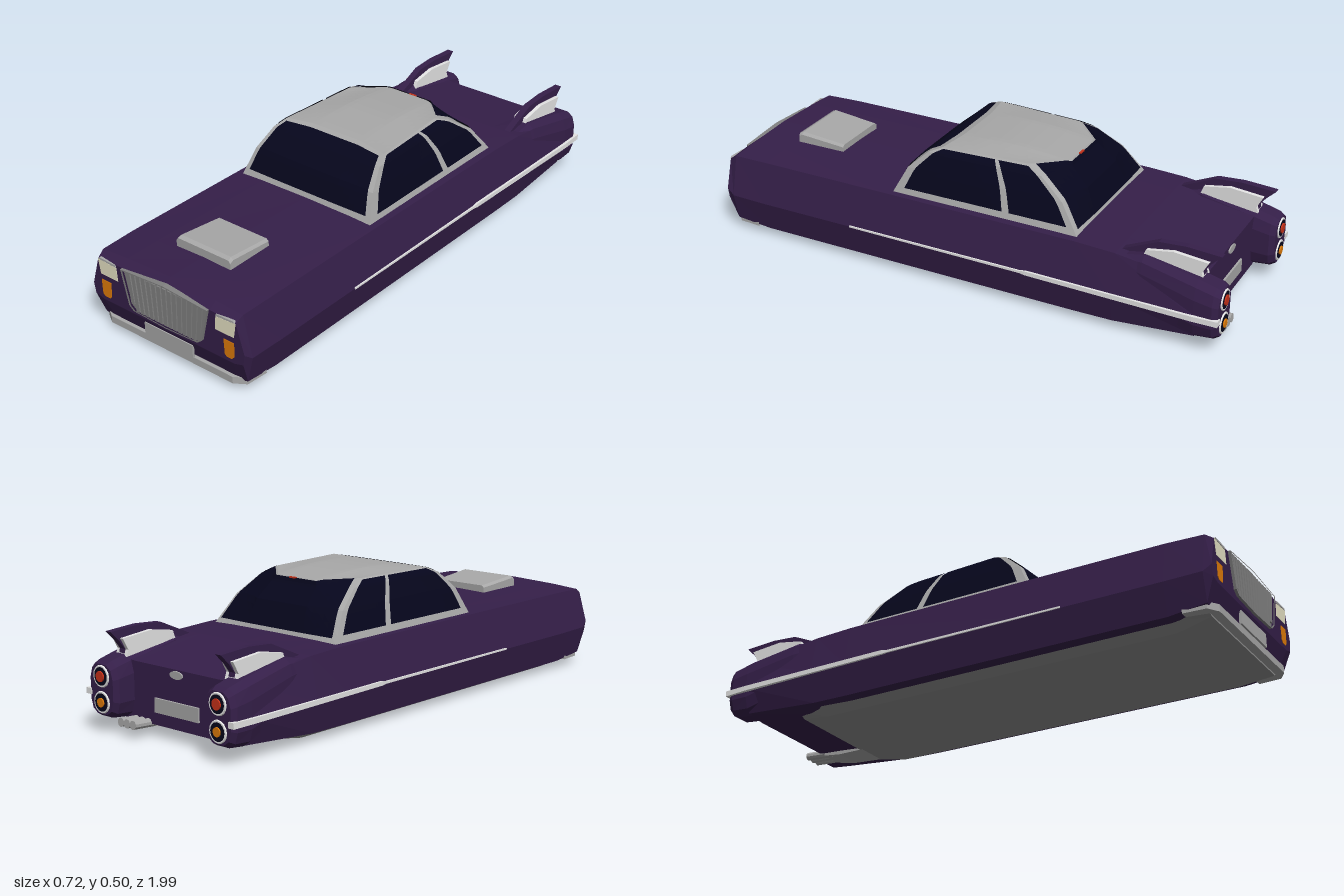
import * as THREE from 'three';

const mat = (name, color, side = THREE.FrontSide) => {
  const m = new THREE.MeshStandardMaterial({ color, side, flatShading: true });
  m.name = name;
  return m;
};

export function createModel() {
  const car = new THREE.Group();
  car.name = 'hoverCar';
  const purple = mat('purplePaint', 0x351f49);
  const glass = mat('darkGlass', 0x06061c, THREE.DoubleSide);
  const gray = mat('grayTrim', 0xa8a8a8, THREE.DoubleSide);
  const steel = mat('grilleSteel', 0x828282);
  const under = mat('underbodyGray', 0x8e8e8e);
  const chrome = mat('chrome', 0xe4e4e4);
  const cream = mat('headlightCream', 0xf2eecf);
  const orange = mat('indicatorOrange', 0xe07c0a);
  const red = mat('tailRed', 0xc8321a);

  const add = (name, geo, m, x = 0, y = 0, z = 0) => {
    const mesh = new THREE.Mesh(geo, m);
    mesh.name = name;
    mesh.position.set(x, y, z);
    car.add(mesh);
    return mesh;
  };
  const box = (name, w, h, d, m, x, y, z) => add(name, new THREE.BoxGeometry(w, h, d), m, x, y, z);

  // Closed skin over rings of [x, y, z], capped, always facing outward
  const loft = (rings) => {
    const n = rings[0].length, tris = [];
    for (let i = 0; i + 1 < rings.length; i++)
      for (let j = 0; j < n; j++) {
        const k = (j + 1) % n, [a, b] = [rings[i], rings[i + 1]];
        tris.push([a[j], b[j], b[k]], [a[j], b[k], a[k]]);
      }
    const cap = (r, flip) => {
      const c = [0, 1, 2].map((d) => r.reduce((s, p) => s + p[d], 0) / n);
      r.forEach((p, j) => tris.push(flip ? [c, r[(j + 1) % n], p] : [c, p, r[(j + 1) % n]]));
    };
    cap(rings[0], false);
    cap(rings[rings.length - 1], true);
    let vol = 0;
    const v = (p) => new THREE.Vector3(...p);
    for (const [a, b, c] of tris) vol += v(a).dot(v(b).cross(v(c)));
    if (vol < 0) tris.forEach((t) => t.reverse());
    const g = new THREE.BufferGeometry();
    g.setAttribute('position', new THREE.Float32BufferAttribute(tris.flat(2), 3));
    g.computeVertexNormals();
    return g;
  };
  // Mirror a half section [x, y] across x = 0 into a ring at z
  const ring = (z, half) => [
    ...half.map(([x, y]) => [x, y, z]),
    ...half.filter(([x]) => x > 0).reverse().map(([x, y]) => [-x, y, z]),
  ];
  const rect = (z, x0, x1, y0, y1) => [[x0, y0, z], [x1, y0, z], [x1, y1, z], [x0, y1, z]];
  const plate = (pts, depth) => new THREE.ExtrudeGeometry(
    new THREE.Shape(pts.map((p) => new THREE.Vector2(...p))), { depth, bevelEnabled: false });

  // Body: centre top, deck edge, shoulder, waist, sill, floor
  add('body', loft([
    ring(0.99, [[0, 0.287], [0.2, 0.285], [0.312, 0.28], [0.345, 0.17], [0.338, 0.13], [0.3, 0.12]]),
    ring(0.96, [[0, 0.314], [0.2, 0.307], [0.317, 0.299], [0.352, 0.148], [0.328, 0.045], [0.27, 0.03]]),
    ring(0.82, [[0, 0.315], [0.2, 0.309], [0.32, 0.302], [0.353, 0.146], [0.325, 0.03], [0.26, 0.012]]),
    ring(0.3, [[0, 0.308], [0.2, 0.306], [0.32, 0.302], [0.353, 0.146], [0.325, 0.03], [0.26, 0.012]]),
    ring(-0.45, [[0, 0.304], [0.2, 0.303], [0.32, 0.3], [0.353, 0.146], [0.325, 0.03], [0.26, 0.012]]),
    ring(-0.6, [[0, 0.295], [0.2, 0.295], [0.32, 0.294], [0.353, 0.146], [0.325, 0.032], [0.26, 0.014]]),
    ring(-0.9, [[0, 0.25], [0.2, 0.25], [0.32, 0.255], [0.35, 0.146], [0.32, 0.055], [0.24, 0.045]]),
  ]), purple);
  add('underbody', loft([
    ring(0.95, [[0.3, 0.035], [0.27, 0.022]]),
    ring(0.82, [[0.3, 0.025], [0.255, 0]]),
    ring(-0.58, [[0.3, 0.025], [0.255, 0]]),
    ring(-0.7, [[0.27, 0.03], [0.24, 0.018]]),
  ]), under);

  // Greenhouse corner rails: y, front x, front z, rear x, rear z, front bow, rear bow
  const rails = [
    [0.3, 0.295, 0.285, 0.29, -0.445, 0, 0],
    [0.4, 0.268, 0.235, 0.255, -0.37, 0.008, -0.03],
    [0.465, 0.243, 0.165, 0.225, -0.275, 0, -0.06],
    [0.487, 0.222, 0.115, 0.2, -0.215, -0.02, -0.11],
  ];
  const railAt = (t) => {
    const i = Math.min(2, Math.floor(t * 3)), f = t * 3 - i;
    return rails[i].map((a, k) => a + (rails[i + 1][k] - a) * f);
  };
  const bow = (u) => Math.min(1, (1 - Math.abs(u)) * 1.9);
  const front = (o) => (u, t) => {
    const r = railAt(t);
    return [u * r[1], r[0] + o + 0.004 * t * bow(u), r[2] + r[5] * bow(u) + o];
  };
  const rear = (o) => (u, t) => {
    const r = railAt(t);
    return [u * r[3], r[0] + o - 0.006 * t * bow(u), r[4] + r[6] * bow(u) - o];
  };
  const side = (s, o) => (u, t) => {
    const r = railAt(t);
    return [s * (r[1] + (r[3] - r[1]) * u + o), r[0] + o / 2, r[2] + (r[4] - r[2]) * u];
  };
  const roof = (u, t) => {
    const a = front(0)(u, 1), b = rear(0)(u, 1);
    return a.map((p, k) => p + (b[k] - p) * t + (k === 1 ? 0.012 * Math.sin(Math.PI * t) * bow(u) : 0));
  };
  // Sheet over part of a surface; the upper limit may vary with u
  const patch = (fn, u0, u1, t0, t1, nu = 20, nt = 12) => {
    const top = typeof t1 === 'function' ? t1 : () => t1;
    const pos = [], idx = [];
    for (let i = 0; i <= nu; i++)
      for (let j = 0; j <= nt; j++) {
        const u = u0 + (u1 - u0) * i / nu;
        pos.push(...fn(u, t0 + (top(u) - t0) * j / nt));
        if (i < nu && j < nt) {
          const a = i * (nt + 1) + j, b = a + nt + 1;
          idx.push(a, b, b + 1, a, b + 1, a + 1);
        }
      }
    const g = new THREE.BufferGeometry();
    g.setAttribute('position', new THREE.Float32BufferAttribute(pos, 3));
    g.setIndex(idx);
    g.computeVertexNormals();
    return g;
  };
  add('roof', patch(roof, -1, 1, 0, 1), gray);
  add('windshieldFrame', patch(front(0), -1, 1, 0, 1), gray);
  add('windshield', patch(front(0.003), -0.93, 0.93, 0.08, 0.9), glass);
  add('rearWindowFrame', patch(rear(0), -1, 1, 0, 1), gray);
  add('rearWindow', patch(rear(0.004), -0.94, 0.94, 0.05, (u) => (Math.abs(u) < 0.5 ? 0.92 : 0.97)), glass);
  box('highBrakeLight', 0.03, 0.008, 0.008, red, 0.015, 0.478, -0.329);
  for (const s of [1, -1]) {
    add('sideFrame', patch(side(s, 0), 0, 1, 0, 1), gray);
    add('frontSideWindow', patch(side(s, 0.004), 0.05, 0.61, 0.08, 0.92), glass);
    add('rearSideWindow', patch(side(s, 0.004), 0.65, 0.965, 0.08, 0.92), glass);
  }

  // Hood scoop
  add('hoodScoop', loft([
    ring(0.805, [[0.115, 0.345], [0.122, 0.335], [0.122, 0.3]]),
    ring(0.79, [[0.112, 0.352], [0.122, 0.343], [0.122, 0.3]]),
    ring(0.61, [[0.108, 0.336], [0.118, 0.328], [0.118, 0.3]]),
  ]), gray);

  // Grille with vertical slats
  const outline = (k) => [[-0.197, 0.285], [0, 0.298], [0.197, 0.285], [0.166, 0.155], [0.145, 0.139],
    [0, 0.133], [-0.145, 0.139], [-0.166, 0.155]].map(([x, y]) => [x * k, 0.215 + (y - 0.215) * k]);
  const rim = new THREE.Shape(outline(1).map((p) => new THREE.Vector2(...p)));
  rim.holes.push(new THREE.Path(outline(0.95).map((p) => new THREE.Vector2(...p))));
  add('grilleRim', new THREE.ExtrudeGeometry(rim, { depth: 0.03, bevelEnabled: false }), steel, 0, 0, 0.97);
  add('grilleBack', plate(outline(0.96), 0.02), steel, 0, 0, 0.972);
  for (let i = -7; i <= 7; i++) {
    const bottom = Math.abs(i) > 6 ? 0.165 : 0.14;
    const slat = box('grilleSlat', 0.016, 0.285 - bottom, 0.006, steel, i * 0.0225, (0.285 + bottom) / 2, 0.994);
    slat.rotation.z = -i * 0.018;
  }

  // Front bumper, number plates and trunk latch
  const bumper = plate([[-0.328, 0.87], [-0.322, 0.955], [-0.28, 0.982], [0.28, 0.982], [0.322, 0.955], [0.328, 0.87]], 0.026);
  bumper.rotateX(Math.PI / 2);
  add('frontBumper', bumper, gray, 0, 0.054, 0);
  box('frontPlate', 0.22, 0.05, 0.009, gray, 0, 0.08, 0.984);
  box('rearPlate', 0.21, 0.05, 0.009, gray, 0, 0.115, -0.903);
  const latch = add('trunkLatch', new THREE.CylinderGeometry(0.014, 0.014, 0.008, 14).rotateX(Math.PI / 2), gray, 0, 0.232, -0.901);
  latch.scale.x = 2.2;

  // Rounded pod section
  const podRing = (z, cx, cy, w, h) => Array.from({ length: 12 }, (_, i) => {
    const a = (i + 0.5) * Math.PI / 6;
    const soft = (v) => Math.sign(v) * Math.abs(v) ** 0.65;
    return [cx + w * soft(Math.cos(a)), cy + h * soft(Math.sin(a)), z];
  });
  for (const s of [1, -1]) {
    const mirror = (pts) => pts.map(([x, y]) => [x * s, y]);
    // Lamps on the nose
    add('headlight', plate(mirror([[0.312, 0.279], [0.226, 0.273], [0.222, 0.222], [0.302, 0.222]]), 0.009), cream, 0, 0, 0.983);
    add('headlightLid', plate(mirror([[0.304, 0.286], [0.23, 0.284], [0.226, 0.275], [0.31, 0.28]]), 0.01), gray, 0, 0, 0.983);
    add('indicator', plate(mirror([[0.302, 0.2], [0.257, 0.2], [0.26, 0.143], [0.267, 0.135], [0.291, 0.135], [0.3, 0.145]]), 0.009), orange, 0, 0, 0.983);

    // Side trim widening towards the rear
    add('sideTrim', loft([
      rect(0.44, s * 0.345, s * 0.357, 0.145, 0.151),
      rect(-0.26, s * 0.345, s * 0.358, 0.143, 0.152),
      rect(-0.28, s * 0.345, s * 0.36, 0.141, 0.156),
      rect(-0.9, s * 0.342, s * 0.36, 0.133, 0.152),
      rect(-0.99, s * 0.33, s * 0.355, 0.131, 0.152),
    ]), chrome);

    // Tail pod
    add('tailPod', loft([
      podRing(-0.58, s * 0.285, 0.24, 0.03, 0.04),
      podRing(-0.7, s * 0.275, 0.205, 0.058, 0.1),
      podRing(-0.9, s * 0.28, 0.16, 0.069, 0.112),
      podRing(-0.965, s * 0.28, 0.155, 0.069, 0.1),
      podRing(-0.985, s * 0.28, 0.155, 0.058, 0.088),
    ]), purple);
    // Fin blade on a wider chrome band
    const fin = (pts, w) => plate(pts, w).rotateY(-Math.PI / 2).translate(w / 2, 0, 0);
    add('tailFin', fin([[-0.58, 0.28], [-0.68, 0.325], [-0.74, 0.352], [-0.84, 0.359], [-0.965, 0.352],
      [-0.93, 0.318], [-0.905, 0.285], [-0.91, 0.24]], 0.026), purple, s * 0.263);
    add('finTrim', fin([[-0.69, 0.29], [-0.7, 0.318], [-0.8, 0.336], [-0.925, 0.325], [-0.902, 0.283],
      [-0.91, 0.26], [-0.8, 0.275]], 0.056), chrome, s * 0.263);

    // Twin tail lights in dark bezels
    for (const [y, lens, r] of [[0.2, red, 0.019], [0.11, orange, 0.016]]) {
      add('tailLightRing', new THREE.TorusGeometry(0.034, 0.006, 6, 16), chrome, s * 0.28, y, -0.984);
      for (const [name, radius, m, z] of [['tailLightBezel', 0.032, glass, -0.985], ['tailLight', r, lens, -0.99]])
        add(name, new THREE.CylinderGeometry(radius, radius, 0.009, 16).rotateX(Math.PI / 2), m, s * 0.28, y, z);
    }
  }

  // Muffler and exhaust pipes on the left
  add('muffler', loft([
    rect(-0.66, 0.11, 0.24, 0.015, 0.04),
    rect(-0.8, 0.12, 0.23, 0.02, 0.05),
    rect(-0.88, 0.13, 0.22, 0.033, 0.06),
  ]), gray);
  for (let i = 0; i < 3; i++) {
    const pipe = add('exhaustPipe', new THREE.CylinderGeometry(0.016, 0.016, 0.12, 10).rotateX(Math.PI / 2), gray, 0.145 + i * 0.03, 0.047, -0.91);
    pipe.rotation.x = 0.06;
  }

  return car;
}
